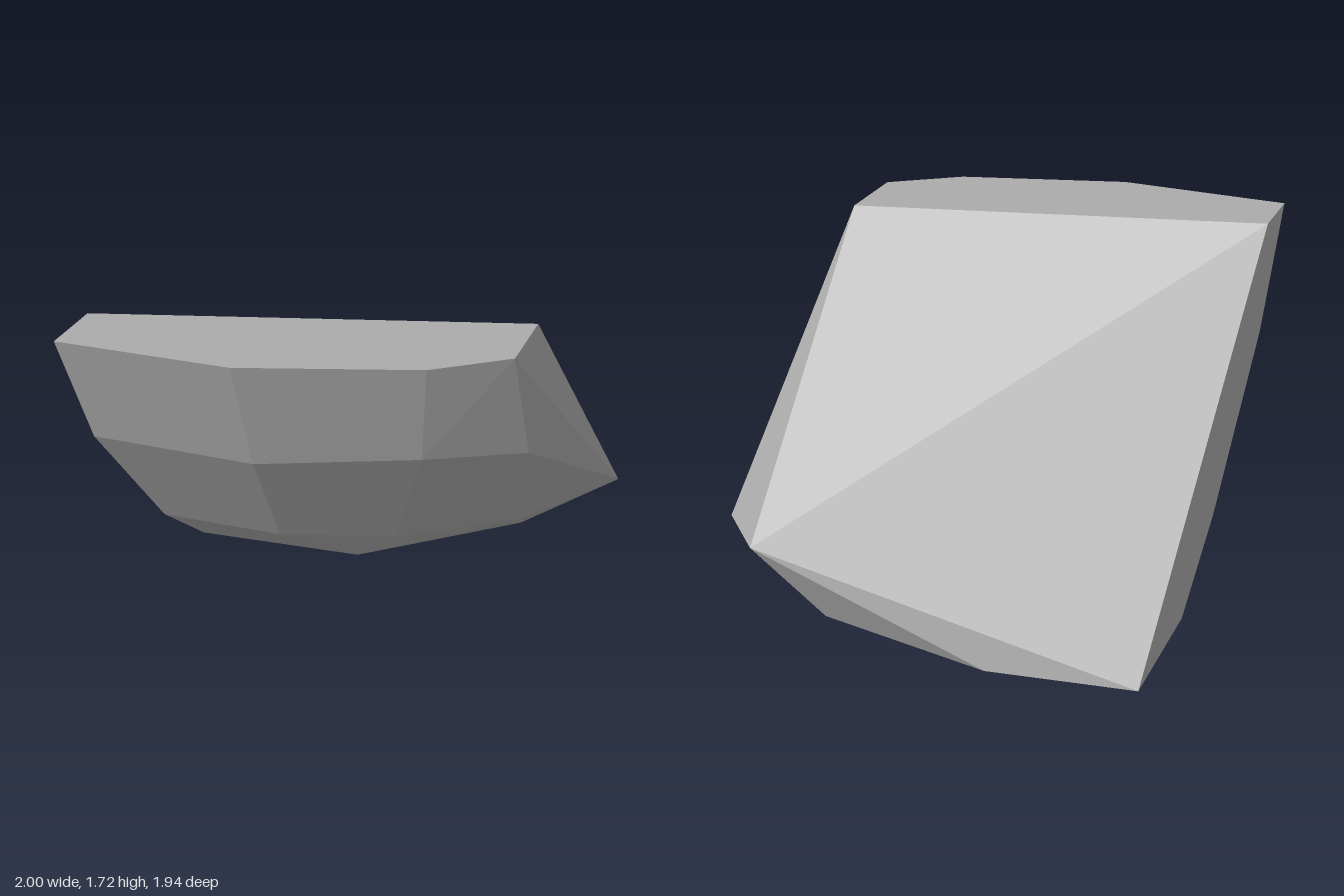
import * as THREE from 'three';

// Low-poly cliff slab: a faceted, leaning front and a nearly flat back.
export function createModel() {
  const stone = new THREE.MeshStandardMaterial({ color: 0xababab, flatShading: true });
  stone.name = 'grey stone';

  // Front face rows from top to bottom, each running from -x to +x
  const rows = [
    [[-1, 1.72, 0.97], [-0.25, 1.72, 0.87], [0.47, 1.72, 0.58], [0.76, 1.72, 0.36]],
    [[-1, 1.14, 0.79], [-0.27, 1.13, 0.69], [0.4, 1.17, 0.43], [0.77, 1.09, 0.09]],
    [[-1, 0.37, 0.31], [-0.4, 0.38, 0.24], [0.11, 0.35, 0], [0.62, 0.35, -0.37]],
  ];
  const [top, middle, low] = rows;
  // Foot of the front, on the ground
  const foot = [[-1, 0, -0.04], [-0.18, 0, -0.19], [0.51, 0, -0.78]];
  const sideTip = [1, 0.43, -0.78];
  const footBack = [-0.33, 0, -0.78];
  // Corners of the back
  const backTopLeft = [-1, 1.72, 0.72], backTopRight = [0.76, 1.72, 0.06];
  const backLowLeft = [-1, 0, -0.59], backLowRight = [0.76, 0.45, -0.97];

  const group = new THREE.Group();
  group.name = 'cliffRock';
  const centre = new THREE.Vector3(0, 0.85, 0);

  // Makes a mesh from polygons, each fanned from its first corner and turned outward
  function addPart(name, polygons) {
    const points = [];
    for (const polygon of polygons) {
      const p = polygon.map((c) => new THREE.Vector3(...c));
      for (let i = 1; i < p.length - 1; i++) {
        const t = new THREE.Triangle(p[0], p[i], p[i + 1]);
        const outward = t.getNormal(new THREE.Vector3()).dot(p[0].clone().sub(centre)) > 0;
        points.push(p[0], ...(outward ? [p[i], p[i + 1]] : [p[i + 1], p[i]]));
      }
    }
    const geometry = new THREE.BufferGeometry().setFromPoints(points);
    geometry.computeVertexNormals();
    const mesh = new THREE.Mesh(geometry, stone);
    mesh.name = name;
    group.add(mesh);
  }

  // Faceted front
  const front = [];
  for (let i = 0; i < 3; i++) {
    front.push([middle[i], middle[i + 1], top[i + 1], top[i]].map((_, k, q) => q[k]));
    front.push([middle[i], low[i], low[i + 1], middle[i + 1]]);
  }
  // Split upper quads from lower left to upper right, lower quads the other way
  addPart('frontFace', front.flatMap((q, k) => k % 2 === 0
    ? [[q[0], q[1], q[2]], [q[0], q[2], q[3]]]
    : [[q[0], q[1], q[2]], [q[0], q[2], q[3]]]));

  // Undercut between the lowest row and the foot
  addPart('undercut', [
    [low[0], foot[0], low[1]],
    [foot[1], low[1], foot[0]],
    [foot[1], low[1], low[2], low[3], foot[2]],
    [low[3], foot[2], sideTip],
  ]);

  // Right side, gathered at its tip
  addPart('rightSide', [
    [sideTip, low[3], middle[3], top[3], backTopRight, backLowRight],
  ]);

  addPart('leftSide', [[backTopLeft, top[0], middle[0], low[0], foot[0], backLowLeft]]);
  addPart('topFace', [[backTopLeft, ...top, backTopRight]]);
  addPart('backFace', [[backLowRight, backTopRight, backTopLeft, backLowLeft]]);
  addPart('lowerBackChamfer', [[backLowRight, sideTip, foot[2], footBack, backLowLeft]]);
  addPart('base', [[...foot, footBack, backLowLeft]]);

  return group;
}
